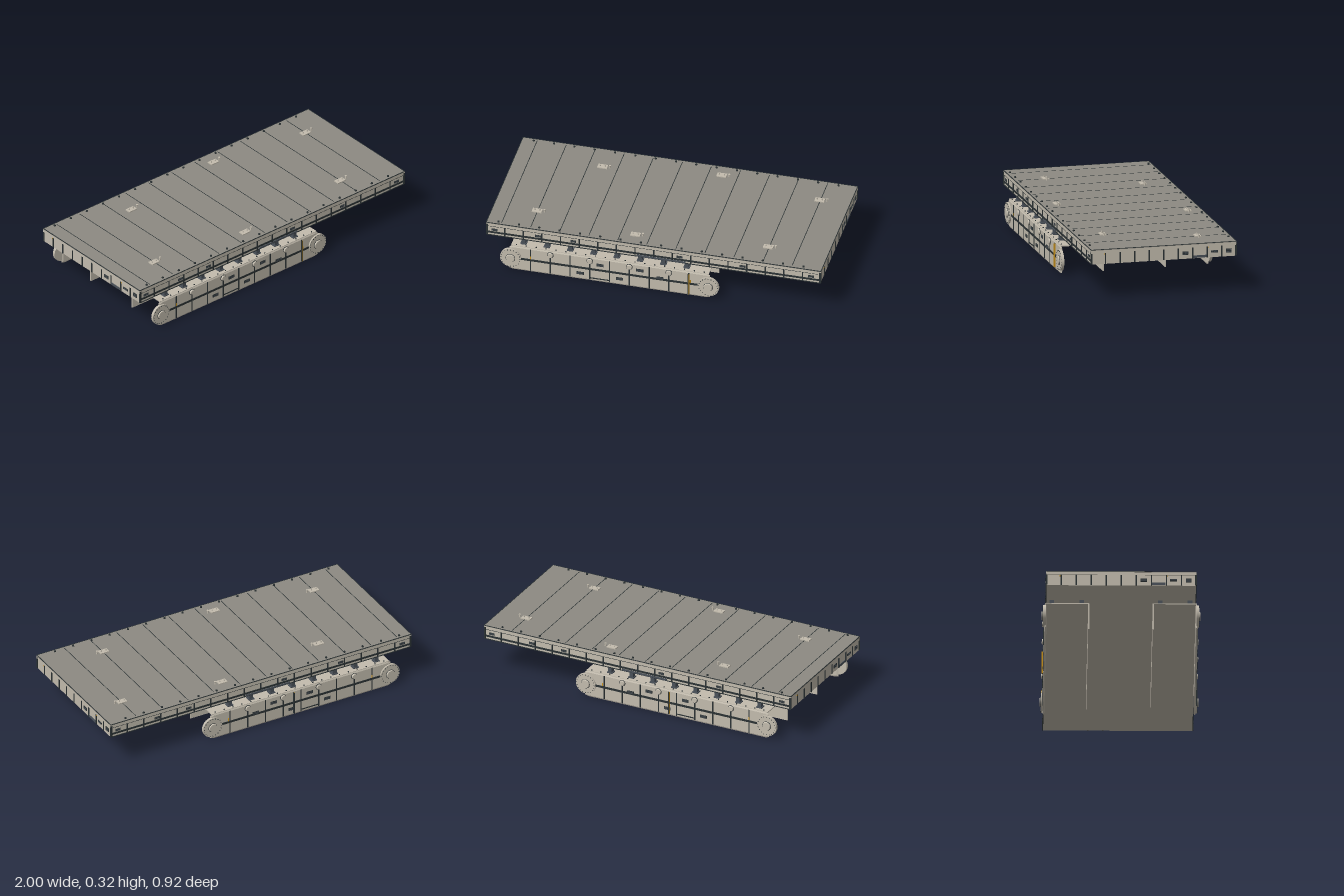
import * as THREE from 'three';

const mat = (name, color) => {
  const m = new THREE.MeshStandardMaterial({ color });
  m.name = name;
  return m;
};

export function createModel() {
  const hull = mat('hull beige', 0xc3bcae);
  const deckGrey = mat('deck grey', 0x8d8a82);
  const dark = mat('dark trim', 0x2b3234);
  const steel = mat('blue steel', 0x4a5159);
  const yellow = mat('warning yellow', 0xc8921c);

  const model = new THREE.Group();
  model.name = 'platformOnSkids';

  const add = (parent, name, geo, material, x, y, z) => {
    const mesh = new THREE.Mesh(geo, material);
    mesh.name = name;
    mesh.position.set(x, y, z);
    parent.add(mesh);
    return mesh;
  };
  const box = (parent, name, material, w, h, d, x, y, z) =>
    add(parent, name, new THREE.BoxGeometry(w, h, d), material, x, y, z);
  const group = (name, parent = model) => {
    const g = new THREE.Group();
    g.name = name;
    parent.add(g);
    return g;
  };
  // disc whose axis runs along z
  const disc = (parent, name, material, r1, r2, depth, x, y, z, n = 24) => {
    const geo = new THREE.CylinderGeometry(r1, r2, depth, n).rotateX(Math.PI / 2);
    return add(parent, name, geo, material, x, y, z);
  };
  // louvred vent facing +z
  const vent = (parent, w, h, x, y, z) => {
    const g = group('vent', parent);
    g.position.set(x, y, z);
    box(g, 'ventPlate', dark, w, h, 0.004, 0, 0, 0);
    for (const s of [-1, 1]) box(g, 'ventSlat', steel, w * 0.9, h * 0.16, 0.006, 0, s * h * 0.22, 0);
  };

  // Platform body and deck
  const platform = group('platform');
  box(platform, 'platformBody', hull, 1.99, 0.084, 0.864, 0, 0.253, 0);
  box(platform, 'deck', deckGrey, 2, 0.005, 0.872, 0, 0.2965, 0);
  for (let i = 0; i < 11; i++) {
    box(platform, 'deckSeam', dark, 0.004, 0.002, 0.84, -0.911 + i * 0.1734, 0.2987, 0);
  }

  // Long sides, built once and turned for the back
  for (const turn of [0, Math.PI]) {
    const side = group('platformSide', platform);
    side.rotation.y = turn;
    const z = 0.433;
    box(side, 'topRail', hull, 2, 0.018, 0.006, 0, 0.286, z);
    box(side, 'topEdge', dark, 2, 0.003, 0.004, 0, 0.2985, 0.4345);
    box(side, 'upperLine', dark, 1.99, 0.003, 0.004, 0, 0.275, z);
    box(side, 'lowerLine', dark, 1.99, 0.011, 0.005, 0, 0.234, z);
    box(side, 'bottomEdge', dark, 1.99, 0.004, 0.005, 0, 0.214, z);
    for (let i = 1; i < 18; i++) {
      box(side, 'sideRib', dark, 0.007, 0.064, 0.008, -1 + i / 9, 0.245, z);
    }
    for (const x of [-0.95, -0.69, -0.48, 0.155, 0.53, 0.94]) vent(side, 0.034, 0.014, x, 0.252, z);
    box(side, 'stepRail', steel, 0.29, 0.01, 0.01, 0.045, 0.22, z);
    for (const x of [-0.994, 0.994]) box(side, 'cornerPost', dark, 0.012, 0.075, 0.008, x, 0.252, z);
  }

  // Short ends
  for (const turn of [Math.PI / 2, -Math.PI / 2]) {
    const end = group('platformEnd', platform);
    end.rotation.y = turn;
    const z = 0.995;
    box(end, 'topRail', hull, 0.87, 0.018, 0.008, 0, 0.286, z);
    box(end, 'topEdge', dark, 0.87, 0.003, 0.004, 0, 0.2985, 0.9985);
    for (let i = 1; i < 10; i++) {
      box(end, 'endRib', dark, 0.007, 0.065, 0.008, -0.435 + i * 0.087, 0.2445, z);
    }
    vent(end, 0.037, 0.02, 0.13, 0.245, z + 0.001);
    vent(end, 0.04, 0.013, 0.303, 0.245, z + 0.001);
    vent(end, 0.032, 0.024, 0.39, 0.245, z + 0.001);
    box(end, 'stepRail', steel, 0.08, 0.014, 0.008, 0.215, 0.221, z);
    for (const x of [-0.355, 0.266]) box(end, 'markerTab', yellow, 0.005, 0.007, 0.008, x, 0.271, z);
    for (const x of [-0.431, 0.431]) box(end, 'cornerPost', dark, 0.007, 0.075, 0.008, x, 0.252, z);
  }

  // Bolts along the deck edges
  const boltGeo = new THREE.CylinderGeometry(0.006, 0.007, 0.008, 8);
  for (const z of [-0.415, 0.415]) {
    for (let i = 0; i < 16; i++) add(platform, 'deckBolt', boltGeo, dark, -0.93 + i * 0.1213, 0.302, z);
  }

  // Hatches, each with two short stems and a small bollard
  const hatches = [[-0.48, -0.262], [0.21, -0.347], [0.82, -0.247], [-0.74, 0.255], [-0.13, 0.345], [0.645, 0.275]];
  for (const [x, z] of hatches) {
    const h = group('hatch', platform);
    h.position.set(x, 0.299, z);
    box(h, 'hatchPlate', hull, 0.058, 0.006, 0.036, 0, 0.003, 0);
    for (const dx of [-0.015, 0.015]) {
      add(h, 'ventStem', new THREE.CylinderGeometry(0.003, 0.004, 0.012, 8), hull, dx, 0.011, 0);
    }
    add(h, 'bollard', new THREE.CylinderGeometry(0.004, 0.005, 0.016, 8), hull, 0.044, 0.008, 0);
    add(h, 'bollardCap', new THREE.CylinderGeometry(0.007, 0.006, 0.003, 8), hull, 0.044, 0.0165, 0);
  }

  // Bevelled outer skid plate
  const x0 = -0.85, x1 = 0.33, mid = (x0 + x1) / 2;
  const outline = new THREE.Shape([
    [x0, 0.012], [x0 + 0.012, 0.008], [x1 - 0.012, 0.008], [x1, 0.012],
    [x1, 0.15], [x1 - 0.012, 0.155], [x0 + 0.012, 0.155], [x0, 0.15],
  ].map(([x, y]) => new THREE.Vector2(x, y)));
  const plateGeo = new THREE.ExtrudeGeometry(outline, {
    depth: 0.004, bevelEnabled: true, bevelThickness: 0.004, bevelSize: 0.008, bevelSegments: 1,
  });

  // Skids, front and back
  for (const s of [1, -1]) {
    const skid = group(s > 0 ? 'frontSkid' : 'backSkid');
    box(skid, 'skidTop', hull, x1 - x0, 0.006, 0.255, mid, 0.163, s * 0.3125);
    box(skid, 'innerPlate', hull, x1 - x0, 0.163, 0.007, mid, 0.0815, s * 0.1865);

    // posts carrying the platform
    for (let i = 0; i < 8; i++) {
      const x = -0.782 + i * 0.139;
      for (const z of [0.4, 0.227]) {
        box(skid, 'post', steel, 0.024, 0.05, 0.027, x, 0.187, s * z);
        box(skid, 'postFoot', steel, 0.036, 0.006, 0.036, x, 0.169, s * z);
      }
    }
    const skidBoltGeo = new THREE.CylinderGeometry(0.004, 0.004, 0.005, 6);
    for (let i = 0; i < 20; i++) {
      for (const z of [0.43, 0.2]) {
        add(skid, 'skidBolt', skidBoltGeo, dark, x0 + 0.03 + i * 0.059, 0.1675, s * z);
      }
    }

    // outer face: turned so that its +z points outward, x positions kept by fx
    const face = group('outerFace', skid);
    face.rotation.y = s > 0 ? 0 : Math.PI;
    const fx = (x) => s * x;
    add(face, 'outerPlate', plateGeo, hull, s > 0 ? 0 : -2 * mid, 0, 0.436);
    box(face, 'waistLine', dark, x1 - x0 - 0.1, 0.013, 0.004, fx(mid), 0.082, 0.4445);
    for (let i = 1; i < 10; i++) {
      box(face, 'faceRib', dark, 0.007, 0.148, 0.005, fx(x0 + i * 0.118), 0.082, 0.4445);
    }
    // upright fin, yellow on one flank only
    box(face, 'markerFin', dark, 0.006, 0.14, 0.012, 0.211, 0.082, 0.448);
    box(face, 'markerStrip', yellow, 0.002, 0.14, 0.012, 0.215, 0.082, 0.448);
    for (const x of [-0.732, 0.222]) box(face, 'markerTab', yellow, 0.006, 0.018, 0.006, fx(x), 0.1, 0.4455);
    // vents and lower step
    for (const [x, y] of [[-0.317, 0.118], [-0.08, 0.123], [-0.435, 0.043], [-0.2, 0.043], [0.04, 0.09]]) {
      vent(face, 0.042, 0.018, fx(x), y, 0.445);
    }
    box(face, 'lowerStep', dark, 0.11, 0.006, 0.005, fx(-0.32), 0.02, 0.4445);
    // round studs
    for (const x of [-0.614, -0.378, -0.142, 0.094]) {
      disc(face, 'studRim', dark, 0.0195, 0.0195, 0.003, fx(x), 0.138, 0.445);
      disc(face, 'stud', hull, 0.014, 0.0185, 0.01, fx(x), 0.138, 0.449);
    }
    // end wheels with hub and rim bolts
    for (const x of [x0, x1]) {
      const wheel = group('endWheel', face);
      wheel.position.set(fx(x), 0.082, 0);
      disc(wheel, 'wheelDisc', hull, 0.063, 0.063, 0.016, 0, 0, 0.444, 40);
      disc(wheel, 'hubRing', dark, 0.0285, 0.0285, 0.003, 0, 0, 0.4525);
      disc(wheel, 'hub', hull, 0.024, 0.0275, 0.009, 0, 0, 0.4565);
      for (let i = 0; i < 20; i++) {
        const a = (i / 20) * Math.PI * 2;
        disc(wheel, 'rimBolt', dark, 0.0025, 0.0025, 0.003, Math.cos(a) * 0.057, Math.sin(a) * 0.057, 0.453, 6);
      }
    }
  }

  return model;
}
